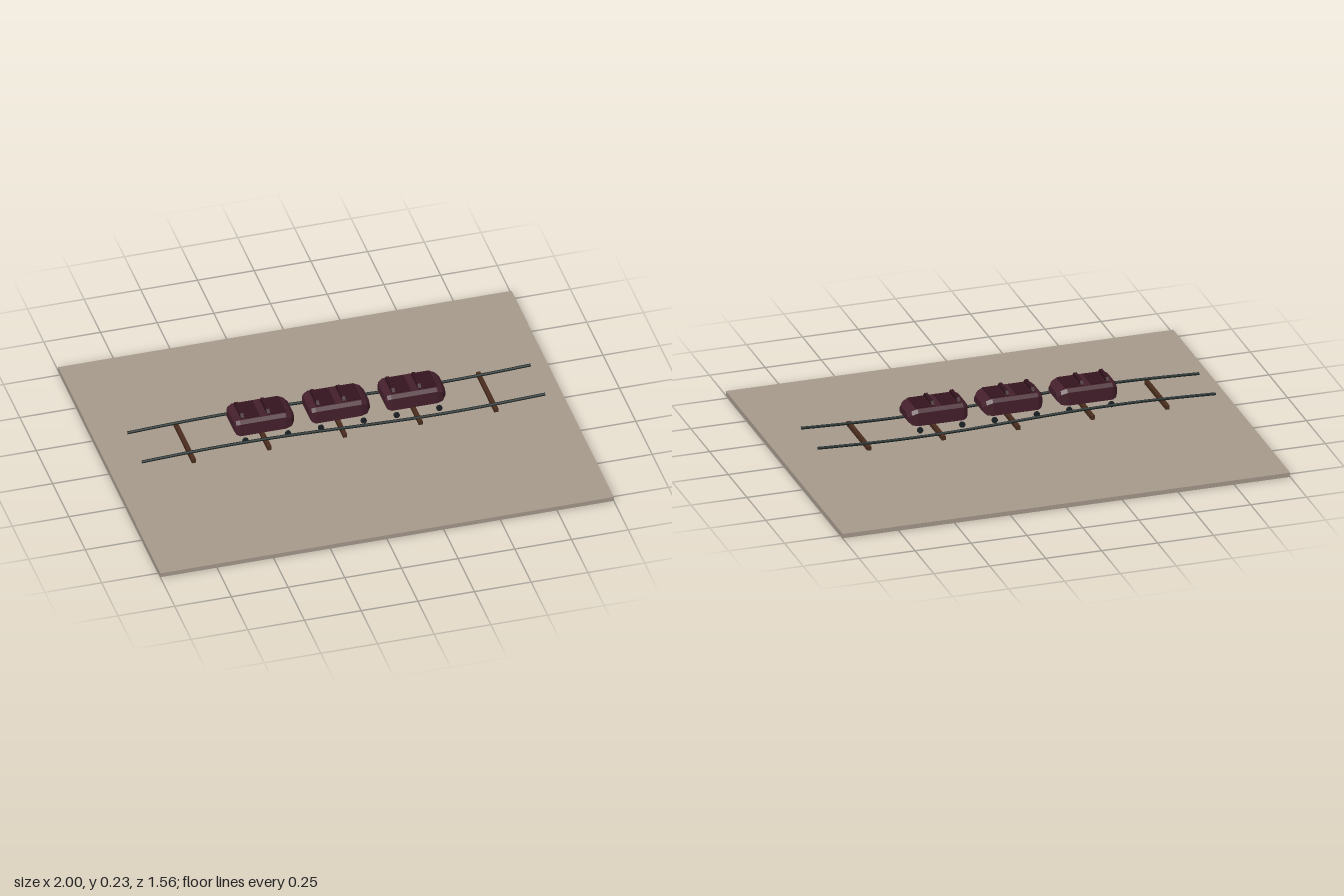
import * as THREE from 'three';

const mat = (name, color, extra = {}) => {
  const m = new THREE.MeshStandardMaterial({ color, ...extra });
  m.name = name;
  return m;
};

// Body lofted along x; each station is [x, half width, bottom, top]
function loftBody(stations, chamfer) {
  const rings = stations.map(([x, w, b, t]) => [
    [x, b, w], [x, b, -w], [x, t - chamfer, -w],
    [x, t, -w + chamfer], [x, t, w - chamfer], [x, t - chamfer, w],
  ]);
  const pos = [];
  const n = 6;
  const tri = (a, b, c) => pos.push(...a, ...b, ...c);
  for (let i = 0; i < rings.length - 1; i++) {
    for (let j = 0; j < n; j++) {
      const k = (j + 1) % n;
      const a = rings[i][j], b = rings[i][k], c = rings[i + 1][k], d = rings[i + 1][j];
      tri(a, b, c);
      tri(a, c, d);
    }
  }
  const first = rings[0], last = rings[rings.length - 1];
  for (let j = 1; j < n - 1; j++) {
    tri(first[0], first[j + 1], first[j]);
    tri(last[0], last[j], last[j + 1]);
  }
  const geo = new THREE.BufferGeometry();
  geo.setAttribute('position', new THREE.Float32BufferAttribute(pos, 3));
  geo.computeVertexNormals();
  return geo;
}

export function createModel() {
  const model = new THREE.Group();
  model.name = 'coasterTrain';
  const ground = mat('sand', 0xa89b8d);
  const steel = mat('railSteel', 0x1b2626);
  const wood = mat('tieWood', 0x4a2d1e);
  const paint = mat('carMaroon', 0x45202c, { flatShading: true });
  const seatMat = mat('seatMaroon', 0x34141e, { flatShading: true });
  const rubber = mat('wheelDark', 0x1c2226);

  const add = (parent, name, geo, material, x = 0, y = 0, z = 0) => {
    const m = new THREE.Mesh(geo, material);
    m.name = name;
    m.position.set(x, y, z);
    parent.add(m);
    return m;
  };

  // Ground slab
  add(model, 'groundSlab', new THREE.BoxGeometry(2, 0.02, 1.56), ground, 0, 0.01, 0);

  // Gently waving rails
  const points = [];
  for (let i = 0; i <= 16; i++) {
    const x = -0.89 + (1.78 * i) / 16;
    points.push(new THREE.Vector3(x, 0.117 - 0.012 * Math.sin((x * Math.PI) / 0.89), 0));
  }
  const railGeo = new THREE.TubeGeometry(new THREE.CatmullRomCurve3(points), 48, 0.0065, 8);
  for (const s of [-1, 1]) add(model, 'rail', railGeo, steel, 0, 0, s * 0.11);

  // Cross ties
  const tieGeo = new THREE.BoxGeometry(0.018, 0.018, 0.28);
  for (let i = -2; i <= 2; i++) add(model, 'crossTie', tieGeo, wood, i / 3, 0.097, 0);

  // Shared car geometry
  const bodyGeo = loftBody([
    [-0.133, 0.06, 0.158, 0.2],
    [-0.126, 0.071, 0.146, 0.207],
    [-0.11, 0.078, 0.14, 0.213],
    [0.092, 0.078, 0.14, 0.213],
    [0.118, 0.071, 0.144, 0.203],
    [0.133, 0.055, 0.158, 0.19],
  ], 0.014);
  const backShape = new THREE.Shape([
    [-0.055, 0.19], [0.055, 0.19], [0.055, 0.218],
    [0.043, 0.233], [-0.043, 0.233], [-0.055, 0.218],
  ].map(([z, y]) => new THREE.Vector2(z, y)));
  const backGeo = new THREE.ExtrudeGeometry(backShape, { depth: 0.014, bevelEnabled: false });
  backGeo.translate(0, 0, -0.007);
  backGeo.rotateY(Math.PI / 2);
  const cushionGeo = new THREE.BoxGeometry(0.064, 0.012, 0.114);
  const wheelGeo = new THREE.CylinderGeometry(0.013, 0.013, 0.01, 12);
  wheelGeo.rotateX(Math.PI / 2);

  // Three cars, each with two seat rows and four wheels
  for (let i = -1; i <= 1; i++) {
    const car = new THREE.Group();
    car.name = 'car';
    car.position.x = i / 3;
    model.add(car);
    add(car, 'carBody', bodyGeo, paint);
    for (const x of [-0.095, 0.02]) {
      add(car, 'seatBack', backGeo, seatMat, x);
      add(car, 'seatCushion', cushionGeo, seatMat, x + 0.044, 0.21, 0);
    }
    for (const x of [-0.095, 0.093]) {
      for (const s of [-1, 1]) add(car, 'wheel', wheelGeo, rubber, x, 0.131, s * 0.101);
    }
  }
  return model;
}
